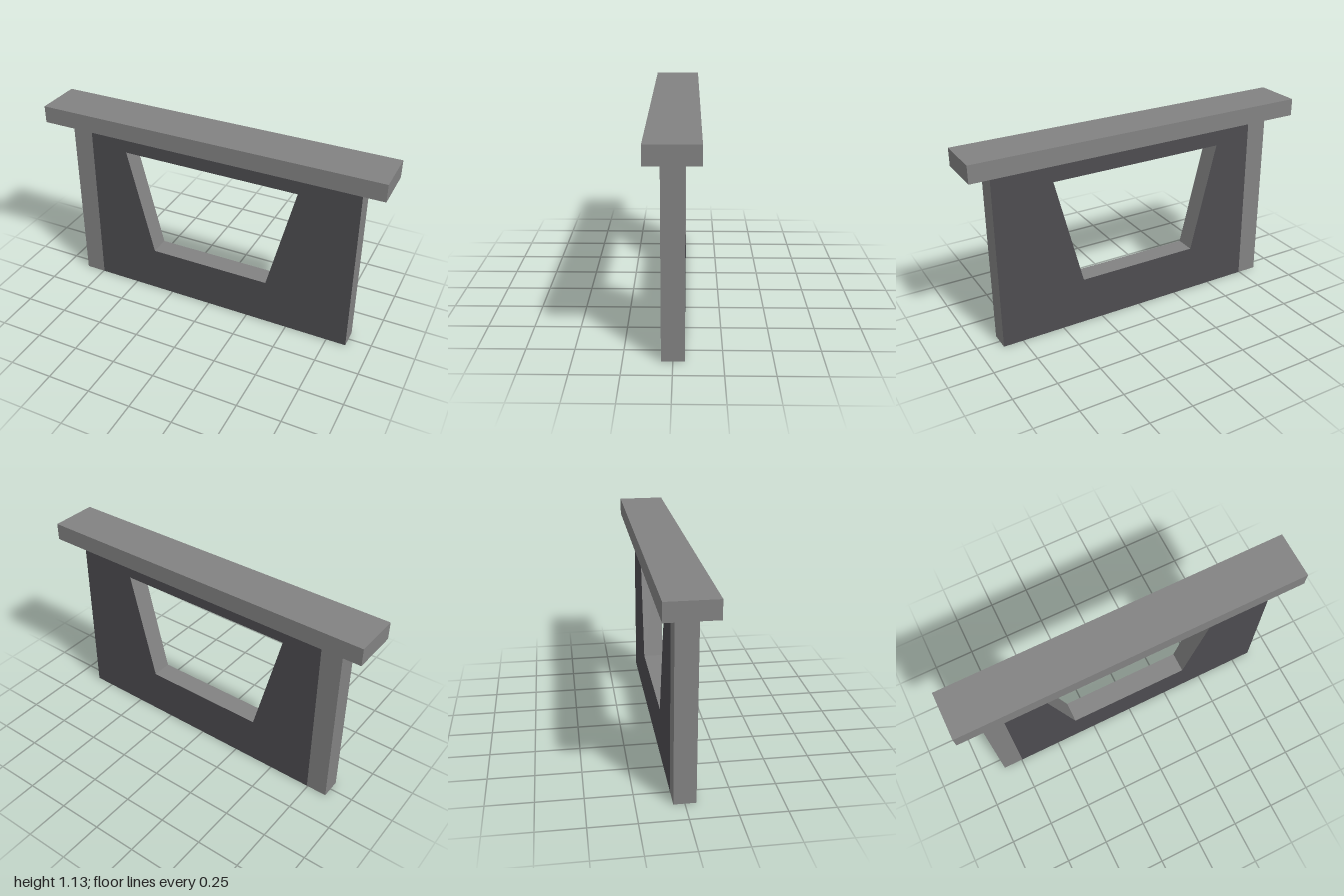
import * as THREE from 'three';

export function createModel() {
  const lightGrey = new THREE.MeshStandardMaterial({ color: 0x828282 });
  lightGrey.name = 'light grey';
  const darkGrey = new THREE.MeshStandardMaterial({ color: 0x4d4c50 });
  darkGrey.name = 'dark grey';

  const half = 0.865, split = -0.745; // wall half-width, edge of the pale strip
  const wallTop = 1.036, top = 1.135, depth = 0.118;

  const group = new THREE.Group();
  group.name = 'windowWall';

  const addBox = (name, x0, x1, y0, y1, d) => {
    const mesh = new THREE.Mesh(new THREE.BoxGeometry(x1 - x0, y1 - y0, d), lightGrey);
    mesh.name = name;
    mesh.position.set((x0 + x1) / 2, (y0 + y1) / 2, 0);
    group.add(mesh);
  };
  const points = (list) => list.map(([x, y]) => new THREE.Vector2(x, y));

  // Wall panel: dark faces, light edges and opening
  const outline = new THREE.Shape(points([[split, 0], [half, 0], [half, wallTop], [split, wallTop]]));
  outline.holes.push(new THREE.Path(points([[-0.362, 0.276], [-0.521, 0.913], [0.521, 0.913], [0.362, 0.276]])));
  const wallGeometry = new THREE.ExtrudeGeometry(outline, { depth, bevelEnabled: false });
  wallGeometry.translate(0, 0, -depth / 2);
  const wall = new THREE.Mesh(wallGeometry, [darkGrey, lightGrey]);
  wall.name = 'wallPanel';
  group.add(wall);

  // Pale end strip and overhanging cap
  addBox('endPost', -half, split, 0, wallTop, depth);
  addBox('topBeam', -1, 1, wallTop, top, 0.27);

  return group;
}
